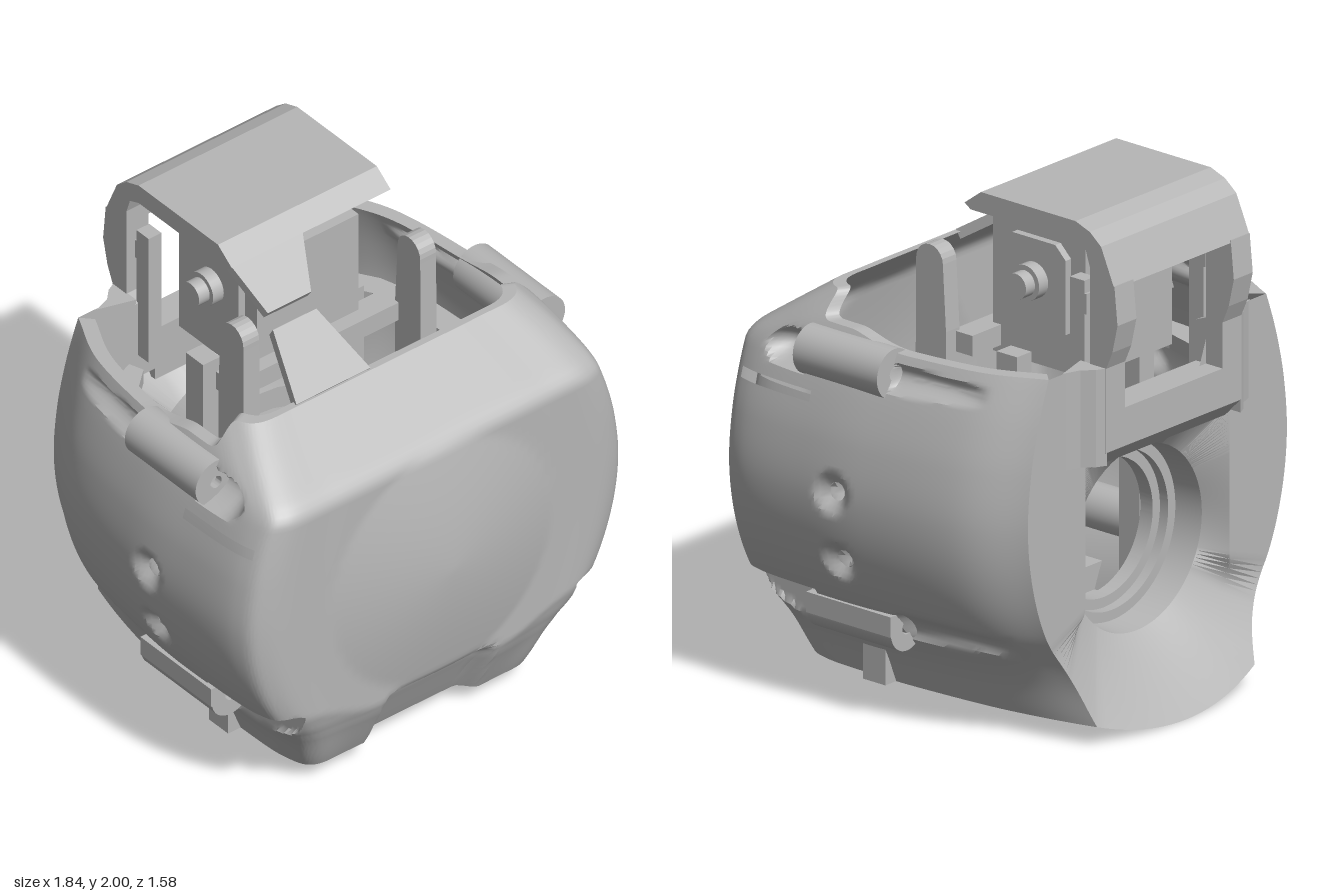
import * as THREE from 'three';
import { toCreasedNormals } from 'three/addons/utils/BufferGeometryUtils.js';

const grey = new THREE.MeshStandardMaterial({ color: 0xb6b6b6, side: THREE.DoubleSide });
grey.name = 'grey';
const V = (x, y, z) => new THREE.Vector3(x, y, z);
const clamp = THREE.MathUtils.clamp, sstep = THREE.MathUtils.smoothstep;

function createModel() {
  const group = new THREE.Group();
  const add = (name, geo) => {
    const m = new THREE.Mesh(geo, grey);
    m.name = name;
    group.add(m);
    return m;
  };
  // surface through rows of points; drop(row, column) leaves openings
  const loft = (name, rows, crease = 0.5, drop = null) => {
    const n = rows[0].length, idx = [];
    for (let j = 0; j < rows.length - 1; j++) for (let i = 0; i < n - 1; i++) {
      if (drop && drop(j, i)) continue;
      const a = j * n + i;
      idx.push(a, a + 1, a + n + 1, a, a + n + 1, a + n);
    }
    const g = new THREE.BufferGeometry().setFromPoints(rows.flat());
    g.setIndex(idx);
    return add(name, toCreasedNormals(g, crease));
  };
  const box = (name, x0, x1, y0, y1, z0, z1) =>
    add(name, new THREE.BoxGeometry(x1 - x0, y1 - y0, z1 - z0)
      .translate((x0 + x1) / 2, (y0 + y1) / 2, (z0 + z1) / 2));
  const shape = pts => new THREE.Shape(pts.map(p => new THREE.Vector2(...p)));
  const extrude = (s, depth) => new THREE.ExtrudeGeometry(s, { depth, bevelEnabled: false, curveSegments: 20 });
  // side profile given as (z, y), extruded from x0 to x1
  const slab = (name, pts, x0, x1) =>
    add(name, extrude(shape(pts), x1 - x0).rotateY(-Math.PI / 2).translate(x1, 0, 0));
  // plan outline given as (x, z), extruded from y0 to y1
  const plan = (name, pts, y0, y1) =>
    add(name, extrude(shape(pts.map(p => [p[0], -p[1]])), y1 - y0).rotateX(-Math.PI / 2).translate(0, y0, 0));

  // ---- head shell: horizontal sections stacked upwards ----
  const widthAt = new THREE.CubicInterpolant(
    [0.08, 0.22, 0.3, 0.45, 0.65, 0.88, 1.1, 1.25, 1.38, 1.5, 1.6],
    [0.56, 0.62, 0.67, 0.79, 0.88, 0.92, 0.9, 0.86, 0.81, 0.75, 0.68], 1);
  const frontLine = y => y < 0.31 ? THREE.MathUtils.mapLinear(y, 0.08, 0.31, 0.595, 0.715)
    : y < 1.38 ? 0.715 : THREE.MathUtils.mapLinear(y, 1.38, 1.6, 0.715, 0.4);
  const frontAt = y => [-0.03, -0.015, 0, 0.015, 0.03].reduce((s, d) => s + frontLine(y + d) / 5, 0);
  const section = y => {
    const w = widthAt.evaluate(y)[0], f = frontAt(y);
    const half = [[0.78, -0.65], [0.92, -0.4], [0.99, Math.min(0, f - 0.5)], [1, Math.min(0.3, f - 0.28)],
      [0.975, f - 0.11], [0.88, f - 0.012], [0.6, f]];
    const pts = [...half.map(p => V(-p[0] * w, y, p[1])), V(0, y, f),
      ...half.slice().reverse().map(p => V(p[0] * w, y, p[1]))];
    return new THREE.CatmullRomCurve3(pts, false, 'catmullrom', 0.5);
  };
  const cols = 238, rowsN = 78, levelRows = 60, outer = [];
  const topAt = u => {                       // rim: high at the front, lower towards the back
    const k = Math.abs(u - 0.5) * 2;
    return 1.595 - 0.095 * sstep(k, 0.38, 0.56) - 0.04 * sstep(k, 0.62, 0.75);
  };
  // soft tapered channel running backwards from z0 to z1
  const channel = (p, y, z0, z1, r) => {
    const t = (p.z - z0) / (z1 - z0);
    if (t < 0 || t > 1) return 0;
    const q = (p.y - y) / (r * (1 - 0.35 * t));
    return 0.045 * Math.max(0, 1 - q * q) * (1 - t ** 4);
  };
  const screws = [0.635, 0.91], screwZ = 0.135;
  for (let j = 0; j <= rowsN; j++) {
    const row = [];
    for (let i = 0; i <= cols; i++) {
      const u = i / cols, k = Math.abs(u - 0.5) * 2;
      const y = j <= levelRows ? 0.08 + 0.02 * j
        : 1.28 + (topAt(u) - 1.28) * (j - levelRows) / (rowsN - levelRows);
      const p = section(y).getPoint(u), s = Math.sign(p.x);
      if (k < 0.5) {
        // domed face disc, chin recess and jaw chamfers rising to the sides
        const r = Math.hypot(p.x, p.y - 0.86) / 0.52;
        if (r < 1) p.z += 0.075 * (1 - r * r) * (0.75 + 0.25 * (1 - r));
        p.z -= 0.06 * (1 - sstep(Math.abs(p.x), 0.2, 0.27)) * (1 - sstep(p.y, 0.3, 0.37));
        const jaw = 0.33 + 0.1 * sstep(Math.abs(p.x), 0.25, 0.65);
        p.z -= 0.3 * clamp(jaw - Math.max(y, 0.31), 0, 1) * sstep(y, 0.06, 0.31);
      } else {
        // screw holes with countersinks
        let d = 0;
        for (const sy of screws) {
          const r = Math.hypot(p.z - screwZ, p.y - sy);
          if (r > 0.02 && r < 0.048) {
            p.z = screwZ + (p.z - screwZ) * 0.036 / r;
            p.y = sy + (p.y - sy) * 0.036 / r;
          }
          d = Math.max(d, 0.07 * clamp(1 - Math.hypot(p.z - screwZ, p.y - sy) / 0.085, 0, 1));
        }
        p.x -= s * (d + channel(p, 1.375, -0.05, -0.46, 0.055) + channel(p, 0.39, -0.05, -0.53, 0.07));
        // flare into the rear lip
        p.z -= 0.09 * clamp((0.4 - p.y) / 0.32, 0, 1) ** 1.6 * sstep(-p.z, 0.4, 0.65);
      }
      // pockets in front of the hinges
      let limit = 1;
      if (p.z > 0.335 && y > 1.31 && y < 1.46)
        limit = 0.71 + 0.09 * ((y - 1.385) / 0.07) ** 2 + 0.2 * sstep(p.z, 0.45, 0.66);
      if (p.z > 0.335 && y > 0.25 + 0.45 * Math.max(0, p.z - 0.45) && y < 0.45) limit = 0.64;
      p.x = clamp(p.x, -limit, limit);
      row.push(p);
    }
    outer.push(row);
  }
  const inner = outer.map(r => r.map(p => V(p.x * 0.93, p.y, p.z * 0.93)));
  const opening = (j, i) => {
    const c = outer[j][i].clone().add(outer[j + 1][i + 1]).multiplyScalar(0.5);
    if (Math.abs(c.x) < 0.6) return false;
    return screws.some(y => Math.hypot(c.z - screwZ, c.y - y) < 0.032)
      || (Math.abs(c.y - 1.24) < 0.019 && c.z > 0.29 && c.z < 0.64);
  };
  loft('headShell', outer, 0.6, opening);
  loft('headShellInside', inner, 0.6, opening);
  loft('upperRim', [outer[rowsN], inner[rowsN]]);

  // ---- rear wall: rim, cheeks, sloped recess and round socket ----
  const lip = [];
  const lx = outer[0][cols].x;
  for (let t = -1; t <= 1.001; t += 0.1) lip.push(V(lx * t, 0.08 * t * t, -0.79 + 0.05 * t * t));
  const topEdge = [[0.45, 1.46], [0.3, 1.46], [0.27, 1.28], [0.14, 1.28], [0, 1.28]];
  const rim = [...outer.map(r => r[0]).reverse(), ...lip, ...outer.map(r => r[cols]),
    ...topEdge.map(p => V(p[0], p[1], -0.65)),
    ...topEdge.slice(0, -1).reverse().map(p => V(-p[0], p[1], -0.65)), outer[rowsN][0]];
  const cy = 0.65;
  const ring = (r, z) => rim.map(p => {
    const a = Math.atan2(p.x, p.y - cy);
    return V(r * Math.sin(a), cy + r * Math.cos(a), z);
  });
  const socketEdge = ring(0.36, -0.55);
  const recess = rim.map((p, i) => {
    const dx = p.x, dy = p.y - cy;
    const t = Math.min(0.97, 0.4 / Math.max(1e-6, Math.abs(dx)), 0.44 / Math.max(1e-6, Math.abs(dy)));
    // below the socket the cheeks give way to the ramp
    const ramp = sstep(-dy / Math.hypot(dx, dy), 0.35, 0.6);
    return V(dx * t, cy + dy * t, -0.65).lerp(socketEdge[i].clone().lerp(p, 0.5), ramp);
  });
  loft('rearWall', [rim, recess, socketEdge], 0.4);
  loft('rearSocket', [socketEdge, ring(0.35, -0.43), ring(0.31, -0.43), ring(0.31, -0.39), ring(0.27, -0.39),
    ring(0.27, -0.33), ring(0.36, -0.33), socketEdge], 0.4);
  loft('rearLipUnderside', [lip, lip.map(p => V(p.x * 1.08, p.y * 0.9 + 0.008, -0.54)),
    lip.map(p => V(p.x * 1.14, p.y * 0.6 + 0.032, -0.42)), lip.map(p => V(p.x * 1.18, 0.08, -0.33))], 1);

  // ---- base plate with its opening ----
  const base = shape(outer[0].filter(p => p.z > -0.35).map(p => [p.x, -p.z]));
  base.holes.push(new THREE.Path([[-0.4, 0.08], [-0.28, 0.22], [0.28, 0.22], [0.4, 0.08], [0.42, -0.36], [0.32, -0.46],
    [-0.32, -0.46], [-0.42, -0.36]].map(p => new THREE.Vector2(...p))));
  add('basePlate', extrude(base, 0.05).rotateX(-Math.PI / 2).translate(0, 0.08, 0));

  // ---- brow tab and hood ----
  const tab = add('browTab', extrude(shape([[-0.43, 0], [-0.08, 0], [-0.135, 0.29], [-0.34, 0.29]]), 0.04));
  tab.rotation.x = -1.012;
  tab.position.set(0, 1.566, 0.38);
  slab('hoodRoof', [[-0.04, 1.94], [-0.12, 2], [-0.58, 2], [-0.65, 1.975], [-0.705, 1.93], [-0.74, 1.85], [-0.77, 1.78],
    [-0.65, 1.78], [-0.65, 1.84], [-0.63, 1.9], [-0.58, 1.92], [-0.07, 1.92]], -0.375, 0.375);
  const visor = add('hoodVisor', extrude(shape([[-0.375, -0.02], [-0.03, -0.02], [-0.14, 0.21], [-0.345, 0.21]]), 0.04));
  visor.rotation.x = 2.184;
  visor.position.set(0, 1.94, -0.04);
  slab('hoodRearBar', [[-0.6, 1.28], [-0.73, 1.28], [-0.73, 1.13], [-0.65, 1.05], [-0.6, 1.05]], -0.28, 0.28);

  // ---- camera box inside the hood ----
  box('cameraBox', -0.24, 0.24, 1.33, 1.88, -0.51, -0.06);
  box('cameraCrossbar', -0.4, 0.4, 1.36, 1.44, -0.1, 0);

  for (const s of [-1, 1]) {
    const pair = (a, b) => s > 0 ? [a, b] : [-b, -a];
    slab('hoodRearPost', [[-0.65, 1.79], [-0.77, 1.79], [-0.785, 1.64], [-0.76, 1.53], [-0.73, 1.46], [-0.73, 1.13],
      [-0.65, 1.05], [-0.6, 1.1], [-0.6, 1.44], [-0.65, 1.46]], ...pair(0.27, 0.375));
    // flare joining the hood to the shell
    plan('hoodFlare', [[0.37, -0.73], [0.41, -0.71], [0.45, -0.67], [0.52, -0.645], [0.37, -0.6]]
      .map(p => [s * p[0], p[1]]), 1.08, 1.46);
    // camera side plate with its pivot
    slab('cameraSidePlate', [[-0.13, 1.49], [-0.13, 1.78], [-0.18, 1.83], [-0.39, 1.83], [-0.44, 1.78], [-0.44, 1.49]], ...pair(0.24, 0.27));
    for (const [r, x] of [[0.07, 0.31], [0.05, 0.36]]) {
      add('cameraPivot', new THREE.CylinderGeometry(r, r, 0.12, 28).rotateZ(Math.PI / 2).translate(s * (x - 0.05), 1.67, -0.285));
    }
    // rounded pivot post
    const post = [[0.13, 0.95], [0.125, 1.69]];
    for (let a = 0; a <= 10; a++) post.push([0.06 + 0.065 * Math.cos(a * Math.PI / 10), 1.71 + 0.065 * Math.sin(a * Math.PI / 10)]);
    post.push([-0.02, 1.45], [-0.02, 0.95]);
    slab('pivotPost', post, ...pair(0.38, 0.455));
    box('rearPost', ...pair(0.3, 0.36), 1.2, 1.77, -0.61, -0.54);
    box('rearPostNub', ...pair(0.3, 0.36), 1.64, 1.72, -0.62, -0.54);
    box('innerStrut', ...pair(0.4, 0.78), 1.1, 1.22, 0.12, 0.2);
    box('innerColumn', ...pair(0.3, 0.38), 0.2, 1.4, -0.3, -0.2);
    // curved shelf along the inside wall
    plan('innerShelf', [[0.7, 0.12], [0.68, -0.2], [0.62, -0.4], [0.54, -0.53], [0.42, -0.58], [0.4, -0.52], [0.48, -0.45],
      [0.54, -0.35], [0.58, -0.2], [0.6, 0.12]].map(p => [s * p[0], p[1]]), 1.14, 1.2);
    // hinge barrels with pin holes
    for (const [x, y, r] of [[0.775, 1.385, 0.097], [0.705, 0.375, 0.09]]) {
      const c = new THREE.Shape().absarc(0, 0, r, 0, Math.PI * 2);
      c.holes.push(new THREE.Path().absarc(0, 0, 0.026, 0, Math.PI * 2));
      add('hingeBarrel', toCreasedNormals(extrude(c, 0.41), 0.6).translate(s * x, y, -0.05));
    }
    slab('lowerHingeLug', [[-0.05, 0.36], [0.36, 0.36], [0.36, 0.44], [-0.05, 0.44]], ...pair(0.745, 0.798));
    box('baseBoss', ...pair(0.48, 0.62), 0.08, 0.23, 0.13, 0.24);
  }
  return group;
}

export { createModel };
